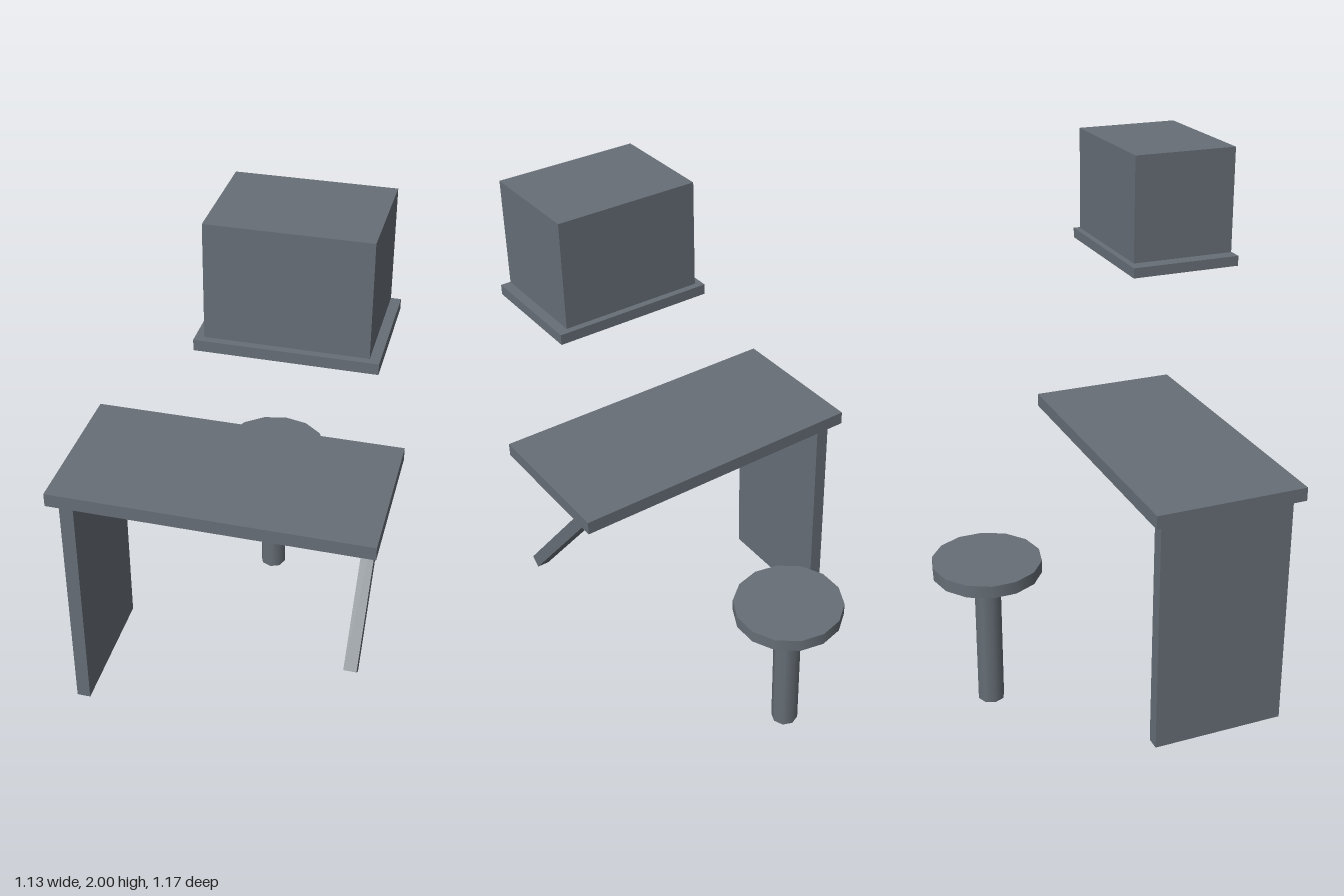
import * as THREE from 'three';

export function createModel() {
  const model = new THREE.Group();
  const slate = new THREE.MeshStandardMaterial({ color: 0x666e76 });
  slate.name = 'slateGrey';

  const add = (name, geometry, x, y, z, parent = model) => {
    const mesh = new THREE.Mesh(geometry, slate);
    mesh.name = name;
    mesh.position.set(x, y, z);
    parent.add(mesh);
    return mesh;
  };
  // Box given by its minimum and maximum corners
  const slab = (name, [x0, y0, z0], [x1, y1, z1], parent) =>
    add(name, new THREE.BoxGeometry(x1 - x0, y1 - y0, z1 - z0),
      (x0 + x1) / 2, (y0 + y1) / 2, (z0 + z1) / 2, parent);
  const group = (name) => {
    const g = new THREE.Group();
    g.name = name;
    model.add(g);
    return g;
  };

  // Table: top, one full panel leg and one slanted brace
  const table = group('table');
  slab('tableTop', [-0.563, 0.905, 0.021], [0.563, 0.955, 0.583], table);
  slab('panelLeg', [-0.525, 0, 0.055], [-0.475, 0.905, 0.555], table);
  const brace = add('slantedBrace', new THREE.BoxGeometry(0.046, 0.684, 0.046), 0.498, 0.639, 0.337, table);
  brace.rotation.x = -0.7;

  // Round stool behind the table
  const stool = group('stool');
  add('stoolSeat', new THREE.CylinderGeometry(0.2, 0.2, 0.047, 14), 0, 0.566, -0.387, stool);
  add('stoolPost', new THREE.CylinderGeometry(0.05, 0.05, 0.543, 8), 0, 0.2715, -0.387, stool);

  // Hanging cabinet above a slightly wider, separate base plate
  const cabinet = group('hangingCabinet');
  slab('cabinetBody', [0, 1.629, 0.176], [0.5, 2, 0.551], cabinet);
  slab('cabinetBasePlate', [-0.031, 1.586, 0.163], [0.53, 1.622, 0.564], cabinet);

  return model;
}
